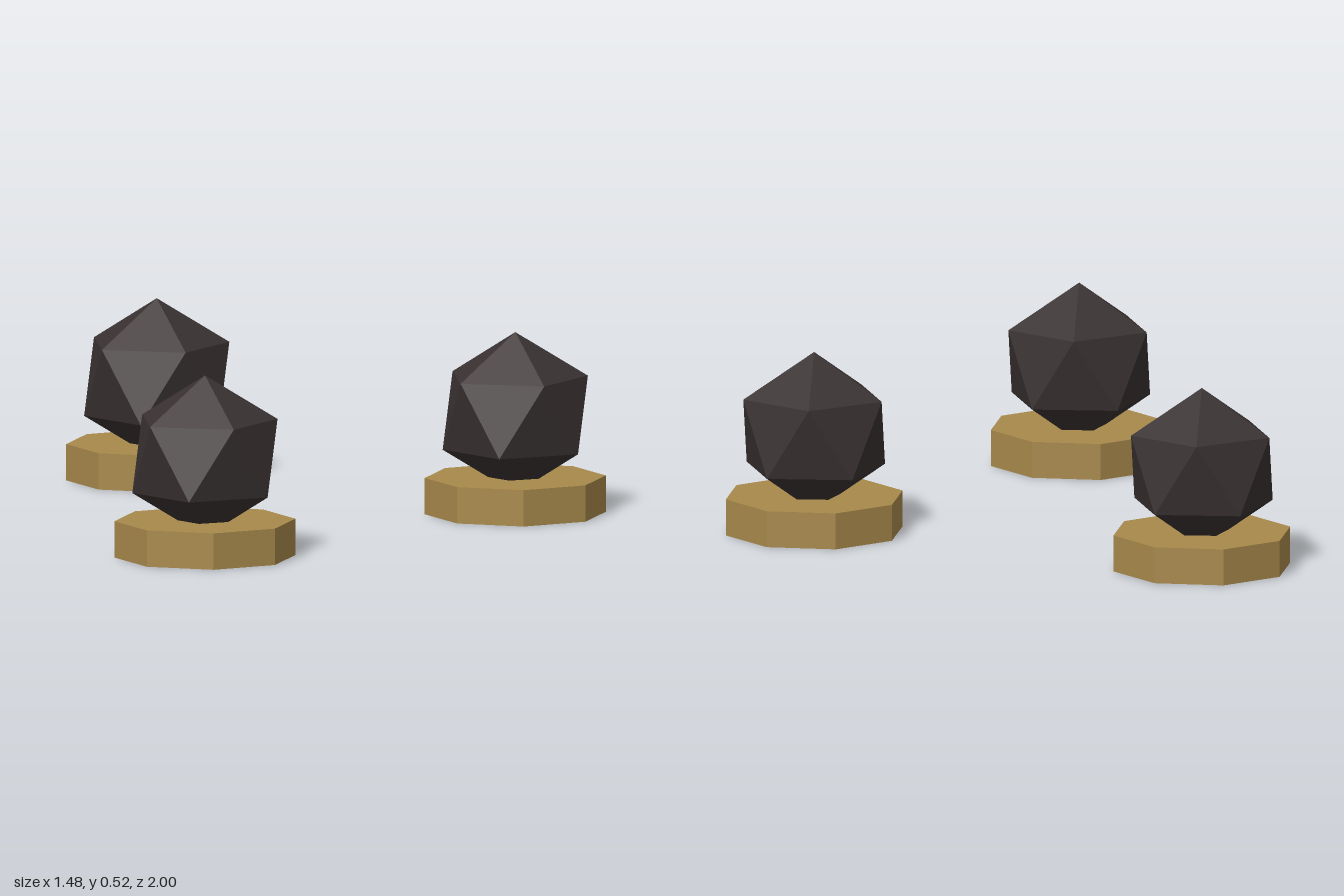
import * as THREE from 'three';

export function createModel() {
  const model = new THREE.Group();
  const brass = new THREE.MeshStandardMaterial({ color: 0xa8894b, flatShading: true });
  brass.name = 'brass';
  const darkStone = new THREE.MeshStandardMaterial({ color: 0x3a3232, flatShading: true });
  darkStone.name = 'dark stone';

  // Octagonal base with corners on the axes
  const baseGeometry = new THREE.CylinderGeometry(0.26, 0.26, 0.105, 8);
  baseGeometry.translate(0, 0.0525, 0);

  // Icosahedron standing on a corner, with an upper-ring corner toward +x
  const stoneGeometry = new THREE.IcosahedronGeometry(0.233, 0);
  stoneGeometry.rotateX(-Math.atan((1 + Math.sqrt(5)) / 2));
  stoneGeometry.rotateY(Math.PI / 2);
  stoneGeometry.translate(0, 0.29, 0);

  // Three identical pieces in a triangle
  for (const [x, z] of [[-0.48, -0.74], [0.48, 0], [-0.48, 0.74]]) {
    const piece = new THREE.Group();
    piece.name = 'mountedStone';
    const base = new THREE.Mesh(baseGeometry, brass);
    base.name = 'base';
    const stone = new THREE.Mesh(stoneGeometry, darkStone);
    stone.name = 'stone';
    piece.add(base, stone);
    piece.position.set(x, 0, z);
    model.add(piece);
  }
  return model;
}
